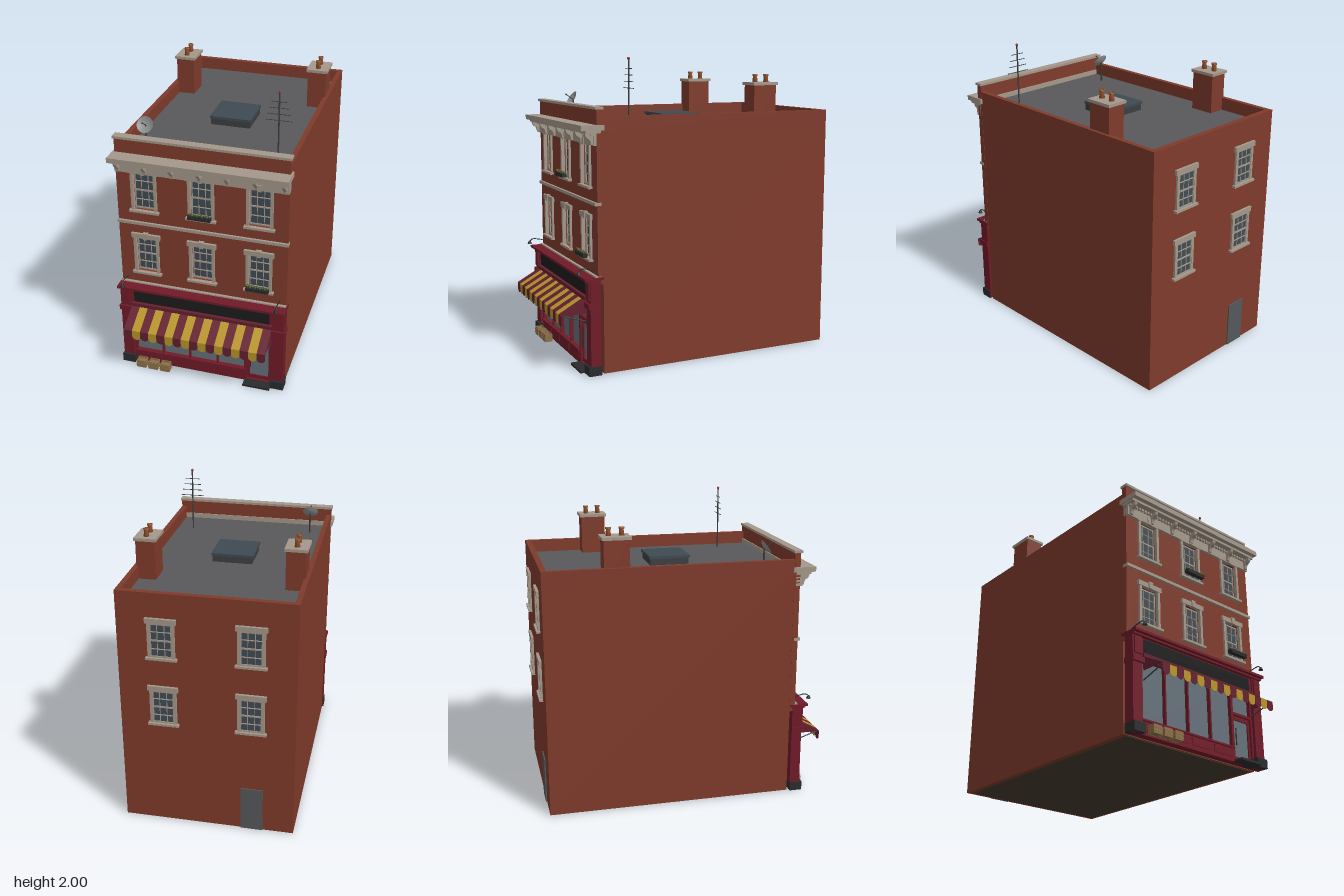
import * as THREE from 'three';

const C = {
  brick: 0x7f3b2b, stone: 0xa4988a, roof: 0x59595b, glass: 0x414c55, shopGlass: 0x66717a, crimson: 0x701b28,
  yellow: 0xb8942a, stripe: 0x64202f, dark: 0x2a2b2c, black: 0x1b1c1b, grey: 0x8c8f90, wood: 0x8c7048,
  green: 0x33502a, red: 0xa03028, floor: 0x453a2e, pot: 0x96552f, skylight: 0x3f4a52, metal: 0x3c3e40, door: 0x55585a,
};
const mats = {};
const mat = (c, double) => (mats[c + (double ? 'd' : '')] ??= new THREE.MeshStandardMaterial({
  color: c, ...(double ? { side: THREE.DoubleSide } : {}),
}));

function add(parent, name, geo, color, pos = [0, 0, 0], double = false) {
  const m = new THREE.Mesh(geo, mat(color, double));
  m.name = name;
  m.position.set(...pos);
  parent.add(m);
  return m;
}
// Box given by its limits on each axis
function box(p, name, color, x0, x1, y0, y1, z0, z1) {
  return add(p, name, new THREE.BoxGeometry(x1 - x0, y1 - y0, z1 - z0), color,
    [(x0 + x1) / 2, (y0 + y1) / 2, (z0 + z1) / 2]);
}
// Round rod between two points
function rod(p, name, color, a, b, r) {
  const A = new THREE.Vector3(...a), B = new THREE.Vector3(...b), d = B.clone().sub(A);
  const m = add(p, name, new THREE.CylinderGeometry(r, r, d.length(), 8), color);
  m.position.copy(A).add(B).multiplyScalar(0.5);
  m.quaternion.setFromUnitVectors(new THREE.Vector3(0, 1, 0), d.normalize());
  return m;
}
function group(p, name, x = 0, y = 0, z = 0) {
  const g = new THREE.Group();
  g.name = name;
  g.position.set(x, y, z);
  p.add(g);
  return g;
}
const rectPts = (x0, x1, y0, y1) => [[x0, y0], [x1, y0], [x1, y1], [x0, y1]].map((q) => new THREE.Vector2(...q));
// Flat wall with rectangular openings
function wall(p, name, color, outer, holes, z0, z1) {
  const s = new THREE.Shape(rectPts(...outer));
  holes.forEach((h) => s.holes.push(new THREE.Path(rectPts(...h).reverse())));
  return add(p, name, new THREE.ExtrudeGeometry(s, { depth: z1 - z0, bevelEnabled: false }), color, [0, 0, z0]);
}

// Sash window; the wall surface is local z = 0 and the opening starts at y = 0
function sashWindow(p, x, y, z, h, glassZ, keystone) {
  const g = group(p, 'sashWindow', x, y, z), w = 0.0685;
  box(g, 'windowGlass', C.glass, -w, w, 0, h, glassZ - 0.004, glassZ);
  for (const s of [-1, 1]) {
    box(g, 'windowJamb', C.stone, s * 0.077 - 0.0095, s * 0.077 + 0.0095, 0, h, -0.01, 0.014);
    box(g, 'glazingBar', C.stone, s * w / 3 - 0.002, s * w / 3 + 0.002, 0, h, glassZ, glassZ + 0.005);
    box(g, 'sashStile', C.stone, s * 0.066 - 0.004, s * 0.066 + 0.004, 0, h, glassZ, glassZ + 0.008);
  }
  for (let i = 0; i <= 4; i++) {
    const t = i % 2 ? 0.002 : 0.005, yy = Math.min(Math.max(h * i / 4, t), h - t);
    box(g, 'glazingRail', C.stone, -w, w, yy - t, yy + t, glassZ, glassZ + 0.007);
  }
  box(g, 'windowSill', C.stone, -0.1, 0.1, -0.015, 0, -0.01, 0.026);
  box(g, 'windowLintel', C.stone, -0.098, 0.098, h, h + 0.033, -0.01, 0.018);
  if (keystone) {
    const k = new THREE.Shape([[-0.012, -0.003], [0.012, -0.003], [0.018, 0.042], [-0.018, 0.042]].map((q) => new THREE.Vector2(...q)));
    add(g, 'keystone', new THREE.ExtrudeGeometry(k, { depth: 0.026, bevelEnabled: false }), C.stone, [0, h, 0]);
  }
  return g;
}

function flowerBox(p, x, y) {
  const g = group(p, 'flowerBox', x, y, 0.79);
  box(g, 'planter', C.dark, -0.075, 0.075, 0, 0.025, -0.016, 0.016);
  for (let i = 0; i < 9; i++) {
    const px = -0.066 + i * 0.0165;
    add(g, 'foliage', new THREE.IcosahedronGeometry(0.012, 0), C.green, [px, 0.029, i % 2 ? 0.004 : -0.004]);
    add(g, 'blossom', new THREE.IcosahedronGeometry(0.004, 0), i % 2 ? C.red : C.yellow, [px, 0.038, i % 2 ? 0.01 : 0.004]);
  }
}

function buildAwning(p) {
  const g = group(p, 'awning'), n = 17, w = 0.97 / n;
  const slope = Math.hypot(0.165, 0.09), angle = Math.atan2(0.09, 0.165);
  for (let i = 0; i < n; i++) {
    const x = -0.485 + w * (i + 0.5), color = i % 2 ? C.yellow : C.stripe;
    const strip = add(g, 'awningStripe', new THREE.BoxGeometry(w, 0.004, slope), color, [x, 0.435, 0.8825]);
    strip.rotation.x = angle;
    // Scalloped valance flap
    const s = new THREE.Shape();
    s.moveTo(w / 2, 0);
    s.lineTo(-w / 2, 0);
    s.lineTo(-w / 2, -0.04);
    s.absellipse(0, -0.04, w / 2, 0.028, Math.PI, Math.PI * 2, false);
    add(g, 'valanceFlap', new THREE.ExtrudeGeometry(s, { depth: 0.003, bevelEnabled: false, curveSegments: 8 }), color, [x, 0.391, 0.963]);
  }
  for (const s of [-1, 1]) {
    const side = new THREE.Shape([[-0.8, 0.39], [-0.965, 0.39], [-0.8, 0.48]].map((q) => new THREE.Vector2(...q)));
    add(g, 'awningSide', new THREE.ShapeGeometry(side), C.stripe, [s * 0.484, 0, 0], true).rotation.y = Math.PI / 2;
    rod(g, 'awningArm', C.metal, [s * 0.475, 0.335, 0.79], [s * 0.475, 0.39, 0.962], 0.004);
  }
  box(g, 'awningCassette', C.stripe, -0.488, 0.488, 0.478, 0.502, 0.775, 0.812);
}

function buildShopfront(p) {
  const g = group(p, 'shopfront');
  const panes = [[-0.475, -0.29], [-0.28, -0.097], [-0.088, 0.098], [0.108, 0.292]];
  wall(g, 'shopFrame', C.crimson, [-0.5, 0.5, 0, 0.62],
    [...panes.map(([a, b]) => [a, b, 0.095, 0.47]), [0.312, 0.475, 0.018, 0.318], [0.312, 0.475, 0.335, 0.47]], 0.73, 0.78);
  box(g, 'shopGlass', C.shopGlass, -0.49, 0.3, 0.08, 0.48, 0.745, 0.755);
  box(g, 'transomGlass', C.shopGlass, 0.305, 0.48, 0.325, 0.48, 0.745, 0.755);
  panes.forEach(([a, b]) => box(g, 'stallRiserPanel', C.crimson, a + 0.012, b - 0.012, 0.028, 0.078, 0.775, 0.785));
  box(g, 'shopSill', C.crimson, -0.485, 0.3, 0.085, 0.097, 0.76, 0.792);
  // Glazed entrance door
  wall(g, 'doorFrame', C.crimson, [0.312, 0.475, 0.012, 0.318], [[0.328, 0.459, 0.045, 0.29]], 0.745, 0.765);
  box(g, 'doorGlass', C.shopGlass, 0.32, 0.468, 0.03, 0.3, 0.75, 0.757);
  rod(g, 'doorHandle', C.dark, [0.336, 0.12, 0.774], [0.336, 0.23, 0.774], 0.004);
  box(g, 'doorStep', C.dark, 0.3, 0.485, 0, 0.015, 0.74, 0.845);
  // Fascia and cornice
  box(g, 'fasciaBoard', C.crimson, -0.49, 0.49, 0.495, 0.62, 0.75, 0.79);
  box(g, 'signPanel', C.black, -0.47, 0.465, 0.508, 0.6, 0.78, 0.796);
  box(g, 'shopCornice', C.crimson, -0.573, 0.573, 0.62, 0.636, 0.71, 0.838);
  box(g, 'shopCorniceBed', C.crimson, -0.57, 0.57, 0.608, 0.62, 0.73, 0.815);
  box(g, 'shopLeadCap', C.stone, -0.565, 0.565, 0.636, 0.645, 0.72, 0.765);
  for (const s of [-1, 1]) {
    const x = s * 0.528, b = (name, c, hw, y0, y1, z1) => box(g, name, c, x - hw, x + hw, y0, y1, 0.73, z1);
    b('pilaster', C.crimson, 0.038, 0, 0.62, 0.8);
    b('pilasterBase', C.dark, 0.045, 0, 0.06, 0.816);
    b('pilasterCapital', C.crimson, 0.045, 0.435, 0.47, 0.815);
    b('pilasterConsole', C.crimson, 0.028, 0.49, 0.6, 0.81);
  }
}

// Wall lamp on a curved arm
function wallLamp(p, x) {
  const g = group(p, 'wallLamp', x, 0, 0);
  const arm = new THREE.CatmullRomCurve3([[0, 0.672, 0.745], [0, 0.685, 0.79], [0, 0.69, 0.84], [0, 0.675, 0.86]].map((q) => new THREE.Vector3(...q)));
  add(g, 'lampArm', new THREE.TubeGeometry(arm, 12, 0.0035, 6), C.dark);
  add(g, 'lampShade', new THREE.CylinderGeometry(0.005, 0.016, 0.022, 14, 1, true), C.dark, [0, 0.669, 0.86], true);
}

function buildCornice(p) {
  const g = group(p, 'roofCornice');
  box(g, 'frieze', C.stone, -0.565, 0.565, 1.463, 1.545, 0.72, 0.765);
  box(g, 'corniceBed', C.stone, -0.57, 0.57, 1.54, 1.557, 0.72, 0.82);
  box(g, 'corniceShelf', C.stone, -0.578, 0.578, 1.557, 1.59, 0.7, 0.85);
  for (let i = 0; i < 44; i++) {
    const x = -0.553 + i * 1.106 / 43;
    box(g, 'dentil', C.stone, x - 0.007, x + 0.007, 1.524, 1.541, 0.76, 0.782);
  }
  // Scrolled brackets, profile drawn in z and y
  const s = new THREE.Shape();
  s.moveTo(0, 0);
  s.lineTo(0, 0.075);
  s.lineTo(0.055, 0.075);
  s.quadraticCurveTo(0.058, 0.045, 0.03, 0.035);
  s.quadraticCurveTo(0.02, 0.025, 0.018, 0);
  const geo = new THREE.ExtrudeGeometry(s, { depth: 0.022, bevelEnabled: false, curveSegments: 6 }).rotateY(-Math.PI / 2);
  for (let i = -3; i <= 3; i++) add(g, 'corniceBracket', geo, C.stone, [i * 0.18 + 0.011, 1.468, 0.76]);
}

export function createModel() {
  const model = new THREE.Group();
  model.name = 'townhouseShop';

  // Main block, roof edge walls and floor
  box(model, 'mainBlock', C.brick, -0.563, 0.563, 0.004, 1.55, -0.937, 0.71);
  box(model, 'floor', C.floor, -0.53, 0.53, 0, 0.01, -0.9, 0.7);
  box(model, 'flatRoof', C.roof, -0.53, 0.53, 1.54, 1.556, -0.9, 0.71);
  for (const s of [-1, 1]) box(model, 'sideParapet', C.brick, s * 0.5465 - 0.0165, s * 0.5465 + 0.0165, 1.55, 1.64, -0.937, 0.71);
  box(model, 'backParapet', C.brick, -0.53, 0.53, 1.55, 1.64, -0.937, -0.9);

  // Street facade
  const xs = [-0.38, 0, 0.38], rows = [[0.735, 0.255], [1.2, 0.26]];
  wall(model, 'facade', C.brick, [-0.565, 0.565, 0.59, 1.685],
    rows.flatMap(([y, h]) => xs.map((x) => [x - 0.0685, x + 0.0685, y, y + h])), 0.708, 0.746);
  for (const [y, h] of rows) for (const x of xs) sashWindow(model, x, y, 0.746, h, -0.024, true);
  box(model, 'stringCourse', C.stone, -0.568, 0.568, 1.09, 1.11, 0.72, 0.762);
  box(model, 'parapetCoping', C.stone, -0.572, 0.572, 1.684, 1.7, 0.7, 0.758);
  flowerBox(model, 0, 1.21);
  flowerBox(model, 0.38, 0.745);
  buildCornice(model);
  buildShopfront(model);
  buildAwning(model);
  for (const s of [-1, 1]) wallLamp(model, s * 0.522);

  // Produce crates on the pavement
  for (let i = 0; i < 3; i++) {
    const x = -0.423 + i * 0.085;
    wall(model, 'crateSides', C.wood, [-0.033, 0.033, -0.026, 0.026], [[-0.028, 0.028, -0.021, 0.021]], 0, 0.055)
      .rotation.x = -Math.PI / 2;
    model.children.at(-1).position.set(x, 0, 0.827);
    box(model, 'crateContents', C.wood, x - 0.03, x + 0.03, 0.002, 0.042, 0.803, 0.851);
    for (const y of [0.018, 0.038]) box(model, 'crateSlat', C.wood, x - 0.035, x + 0.035, y - 0.006, y + 0.006, 0.85, 0.855);
  }

  // Rear windows and door
  for (const x of [-0.28, 0.28]) for (const y of [0.75, 1.215]) sashWindow(model, x, y, -0.937, 0.23, 0.004, false).rotation.y = Math.PI;
  box(model, 'rearDoor', C.door, -0.36, -0.215, 0.004, 0.315, -0.945, -0.93);

  // Chimneys
  for (const s of [-1, 1]) {
    const g = group(model, 'chimney', s * 0.479, 0, -0.46);
    box(g, 'chimneyStack', C.brick, -0.063, 0.063, 1.54, 1.815, -0.083, 0.083);
    box(g, 'chimneyCap', C.stone, -0.073, 0.073, 1.813, 1.832, -0.094, 0.094);
    const pot = [[0, 0], [0.018, 0], [0.014, 0.04], [0.018, 0.045], [0.018, 0.055], [0.011, 0.055], [0.009, 0.02], [0, 0.02]];
    for (const z of [-0.042, 0.042]) {
      add(g, 'chimneyPot', new THREE.LatheGeometry(pot.map((q) => new THREE.Vector2(...q)), 16), C.pot, [0, 1.83, z]);
    }
  }

  // Skylight
  box(model, 'skylightCurb', C.metal, -0.135, 0.135, 1.55, 1.605, -0.16, 0.105);
  box(model, 'skylightGlass', C.skylight, -0.142, 0.14, 1.6, 1.618, -0.167, 0.112);

  // Television aerial
  const aerial = group(model, 'aerial', 0.42, 0, 0.47);
  rod(aerial, 'aerialMast', C.metal, [0, 1.55, 0], [0, 1.99, 0], 0.005);
  add(aerial, 'aerialTip', new THREE.SphereGeometry(0.009, 12, 8), C.red, [0, 1.991, 0]);
  for (let i = 0; i < 4; i++) {
    const l = 0.083 - i * 0.011;
    rod(aerial, 'aerialElement', C.metal, [-l, 1.805 + i * 0.041, 0], [l, 1.805 + i * 0.041, 0], 0.0025);
  }

  // Satellite dish
  const dish = group(model, 'satelliteDish', -0.43, 1.697, 0.54);
  rod(dish, 'dishPost', C.metal, [0, -0.145, 0], [0, 0, 0], 0.006);
  const bowl = [[0, 0], [0.02, 0.002], [0.038, 0.008], [0.055, 0.018]].map((q) => new THREE.Vector2(...q));
  add(dish, 'dishBowl', new THREE.LatheGeometry(bowl, 24), C.grey, [0, 0, 0], true).rotation.x = 0.95;
  rod(dish, 'feedArm', C.metal, [0, 0, 0], [0, 0.037, 0.055], 0.003);
  add(dish, 'feedHorn', new THREE.SphereGeometry(0.006, 10, 8), C.metal, [0, 0.037, 0.055]);
  return model;
}
